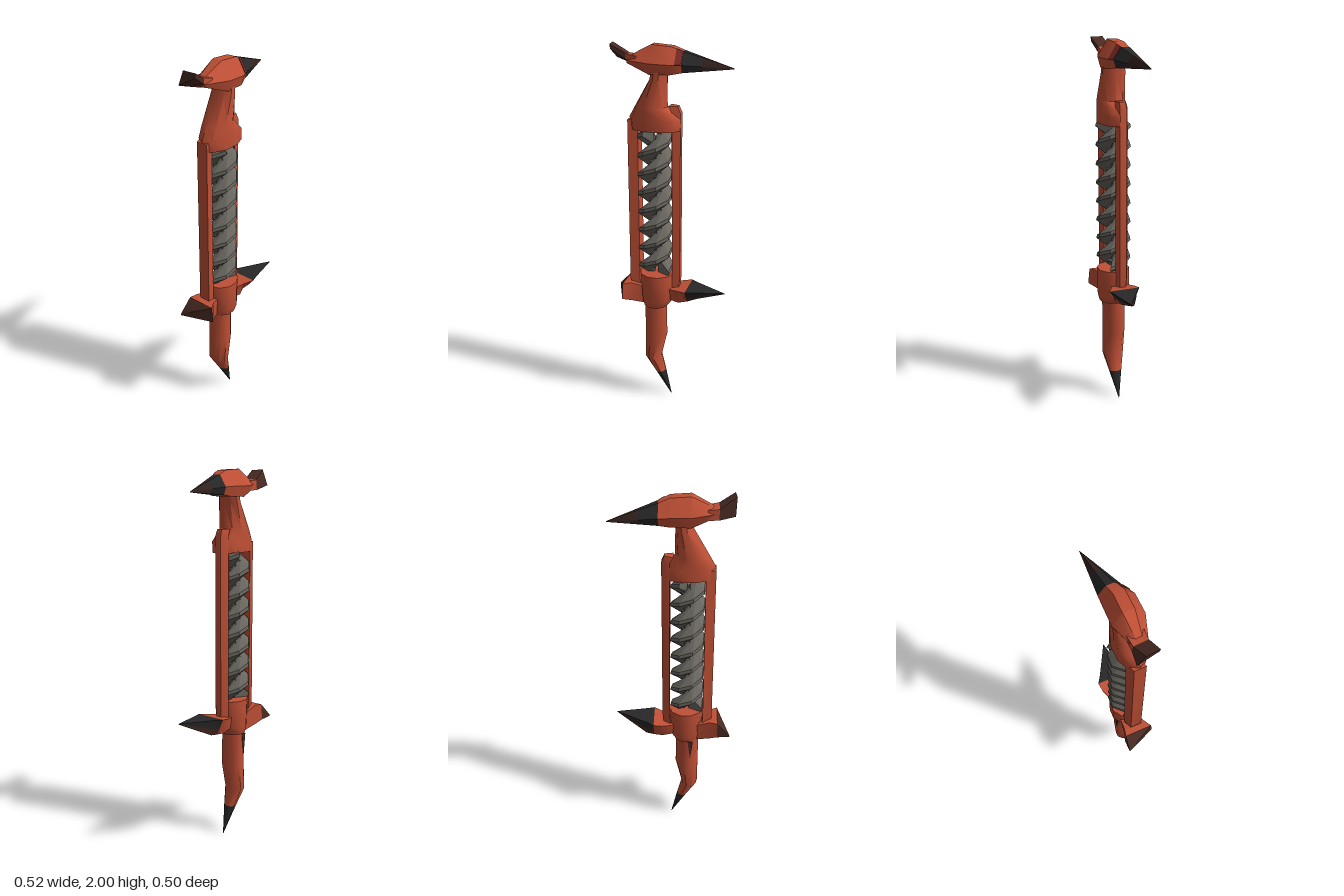
import * as THREE from 'three';
import { toCreasedNormals } from 'three/addons/utils/BufferGeometryUtils.js';

const paint = (name, color) => {
  const m = new THREE.MeshStandardMaterial({ color });
  m.name = name;
  return m;
};

// Skins a list of rings (equal point counts, [x, y, z]) and closes both ends.
function loft(rings, crease = 0.75) {
  const pos = [];
  const n = rings[0].length;
  const tri = (a, b, c) => pos.push(...a, ...b, ...c);
  for (let i = 0; i < rings.length - 1; i++) {
    for (let j = 0; j < n; j++) {
      const k = (j + 1) % n;
      const [a, b, c, d] = [rings[i][j], rings[i][k], rings[i + 1][k], rings[i + 1][j]];
      tri(a, b, c);
      tri(a, c, d);
    }
  }
  const first = rings[0], last = rings[rings.length - 1];
  for (let j = 1; j < n - 1; j++) {
    tri(first[0], first[j + 1], first[j]);
    tri(last[0], last[j], last[j + 1]);
  }
  // Turn every face outward if the enclosed volume is negative
  let volume = 0;
  const v = [new THREE.Vector3(), new THREE.Vector3(), new THREE.Vector3()];
  for (let i = 0; i < pos.length; i += 9) {
    v.forEach((p, k) => p.fromArray(pos, i + k * 3));
    volume += v[0].dot(v[1].clone().cross(v[2]));
  }
  if (volume < 0) {
    for (let i = 0; i < pos.length; i += 9) {
      for (let k = 0; k < 3; k++) {
        [pos[i + 3 + k], pos[i + 6 + k]] = [pos[i + 6 + k], pos[i + 3 + k]];
      }
    }
  }
  const g = new THREE.BufferGeometry();
  g.setAttribute('position', new THREE.Float32BufferAttribute(pos, 3));
  return toCreasedNormals(g, crease);
}

// Level oval ring between x0 and x1, with half depth rz
const oval = (y, x0, x1, rz, z = 0.018, sides = 10) =>
  Array.from({ length: sides }, (_, i) => {
    const a = (i / sides) * Math.PI * 2;
    return [(x0 + x1) / 2 + ((x1 - x0) / 2) * Math.cos(a), y, z + rz * Math.sin(a)];
  });

// Level four-sided ring with separate inner and outer edges
const rail = (y, inner, [i0, i1], outer, [o0, o1]) =>
  [[inner, y, i0], [outer, y, o0], [outer, y, o1], [inner, y, i1]];

// Upright six-sided ring: narrow ridge above, broad belly
const hex = (x, top, mid, bottom, w, z = 0.014) => [
  [x, top, z - w * 0.35], [x, top, z + w * 0.35], [x, mid, z + w],
  [x, bottom, z + w * 0.8], [x, bottom, z - w * 0.8], [x, mid, z - w],
];

// Upright four-sided ring with its own edges above and below
const slab = (x, top, [t0, t1], bottom, [b0, b1]) =>
  [[x, top, t0], [x, top, t1], [x, bottom, b1], [x, bottom, b0]];

// Ring part of the way from one ring to another
const between = (a, b, t) => a.map((p, i) => p.map((c, k) => c + (b[i][k] - c) * t));

// Twisted blade with a wedge-shaped section
function screw(y0, y1, turns, sides, phase) {
  const rings = [];
  const steps = Math.round(turns * sides);
  for (let i = 0; i <= steps; i++) {
    const a = phase - (i / sides) * Math.PI * 2;
    const y = y0 + ((y1 - y0) * i) / steps;
    const at = (r, dy) => [-0.073 + r * Math.cos(a), y + dy, 0.014 + r * Math.sin(a)];
    rings.push([at(0.01, -0.042), at(0.045, -0.042), at(0.094, -0.008), at(0.09, 0.01), at(0.045, 0.042), at(0.01, 0.042)]);
  }
  return loft(rings, 0.4);
}

export function createModel() {
  const red = paint('rust red', 0xc05036);
  const black = paint('black', 0x282828);
  const brown = paint('dark brown', 0x4a2b23);
  const umber = paint('umber', 0x35241f);
  const crimson = paint('dark crimson', 0x7c2a26);
  const grey = paint('warm grey', 0x69665f);

  const body = new THREE.Group();
  body.name = 'body';
  const add = (name, geometry, material) => {
    const mesh = new THREE.Mesh(geometry, material);
    mesh.name = name;
    body.add(mesh);
  };

  // Lower shaft, bending into a pointed black tip
  const tipRing = oval(0.155, -0.08, -0.022, 0.037, 0.014);
  add('lowerShaft', loft([
    oval(0.62, -0.14, -0.016, 0.062, 0.014),
    oval(0.4, -0.138, -0.012, 0.062, 0.014),
    oval(0.25, -0.137, -0.046, 0.06, 0.014),
    tipRing,
  ]), red);
  add('lowerTip', loft([tipRing, oval(0, 0.01, 0.013, 0.001, 0.012)]), black);

  // Dark notch mark on the back of the shaft
  add('shaftMark', loft([
    [[-0.108, 0.575, -0.042], [-0.08, 0.575, -0.042], [-0.094, 0.45, -0.042]],
    [[-0.108, 0.575, -0.048], [-0.08, 0.575, -0.048], [-0.094, 0.455, -0.048]],
  ]), brown);

  // Collar under the screw
  add('collar', loft([
    oval(0.582, -0.14, -0.005, 0.075),
    oval(0.62, -0.152, 0.02, 0.086),
    oval(0.775, -0.162, 0.025, 0.088),
  ]), red);

  // Double-start twisted core
  for (const [name, phase] of [['screwA', 0.5], ['screwB', 0.5 + Math.PI]]) {
    add(name, screw(0.79, 1.56, 3.75, 8, phase), grey);
  }

  // Side rails, tapering outward
  add('leftRail', loft([
    rail(0.67, -0.15, [-0.025, 0.035], -0.195, [-0.008, 0.045]),
    rail(0.73, -0.16, [-0.03, 0.04], -0.21, [-0.01, 0.052]),
    rail(1.62, -0.16, [-0.03, 0.04], -0.21, [-0.01, 0.052]),
  ]), red);
  add('rightRail', loft([
    rail(0.67, 0.012, [-0.03, 0.03], 0.052, [-0.01, 0.02]),
    rail(0.75, 0.02, [-0.033, 0.033], 0.06, [-0.014, 0.022]),
    rail(1.66, 0.02, [-0.033, 0.033], 0.06, [-0.014, 0.022]),
    rail(1.695, 0, [-0.028, 0.03], 0.045, [-0.01, 0.02]),
  ]), red);

  // Dark lining inside the upper part of the right rail
  add('railLining', loft([
    rail(1.2, 0.017, [-0.005, 0.033], 0.022, [-0.005, 0.033]),
    rail(1.34, 0.017, [-0.033, 0.033], 0.022, [-0.033, 0.033]),
    rail(1.57, 0.017, [-0.033, 0.033], 0.022, [-0.033, 0.033]),
  ]), crimson);

  // Shoulder narrowing into the neck
  add('neck', loft([
    oval(1.572, -0.202, 0.06, 0.074, 0.02),
    oval(1.63, -0.208, 0.062, 0.074, 0.02),
    oval(1.69, -0.175, -0.006, 0.072, 0.02),
    oval(1.83, -0.096, -0.008, 0.064, 0.02),
    oval(1.9, -0.09, 0, 0.06, 0.02),
  ]), red);

  // Angular head with a long beak, dark brown toward its point
  const browRing = hex(0.018, 1.988, 1.908, 1.858, 0.076);
  const beakRing = hex(0.072, 1.966, 1.905, 1.866, 0.06, 0);
  const beakPoint = hex(0.313, 1.885, 1.883, 1.881, 0.001, -0.042);
  const beakMid = between(beakRing, beakPoint, 0.38);
  add('head', loft([
    hex(-0.21, 1.93, 1.915, 1.9, 0.035),
    hex(-0.085, 1.995, 1.91, 1.855, 0.078),
    browRing,
    beakRing,
  ], 0.5), red);
  add('beak', loft([beakRing, beakMid]), black);
  add('beakTip', loft([beakMid, beakPoint]), umber);

  // Dark patch where the head meets the beak
  const patchRing = (t) => {
    const [a, b] = between(browRing, beakRing, t).slice(1, 3);
    const raise = ([x, y, z]) => [x, y + 0.002, z + 0.003];
    return [a, b, raise(b), raise(a)];
  };
  add('browPatch', loft([patchRing(0.45), patchRing(1)]), crimson);

  // Thin tilted crest behind the head
  const crestRing = [[-0.215, 1.94, -0.025], [-0.215, 1.948, 0.046], [-0.215, 1.918, 0.046], [-0.215, 1.888, -0.03]];
  add('crestRoot', loft([slab(-0.16, 1.935, [-0.03, 0.05], 1.885, [-0.03, 0.05]), crestRing]), red);
  add('crest', loft([crestRing, [
    [-0.296, 1.993, -0.005], [-0.29, 1.992, 0.062], [-0.288, 1.968, 0.06], [-0.29, 1.912, -0.042],
  ]]), brown);

  // Long guard spike: black above, brown along the keel
  const upperRing = slab(0.108, 0.708, [-0.07, 0.1], 0.66, [-0.05, 0.062]);
  const lowerRing = slab(0.108, 0.66, [-0.05, 0.062], 0.62, [-0.033, 0.025]);
  const tipPoint = slab(0.316, 0.711, [0.052, 0.054], 0.708, [0.052, 0.054]);
  add('longGuardRoot', loft([
    slab(0, 0.69, [-0.04, 0.05], 0.625, [-0.03, 0.04]),
    slab(0.06, 0.7, [-0.065, 0.075], 0.615, [-0.035, 0.045]),
    slab(0.108, 0.708, [-0.07, 0.1], 0.62, [-0.033, 0.025]),
  ]), red);
  add('longGuardSpike', loft([
    upperRing,
    slab(0.15, 0.709, [-0.042, 0.089], 0.66, [-0.035, 0.04]),
    tipPoint,
  ]), black);
  add('longGuardKeel', loft([
    lowerRing,
    slab(0.15, 0.66, [-0.035, 0.04], 0.624, [-0.025, -0.01]),
    tipPoint,
  ]), brown);

  // Short guard spike, swept to one side
  const hookRing = slab(-0.242, 0.712, [-0.055, 0.1], 0.625, [-0.06, 0.108]);
  add('shortGuardRoot', loft([
    slab(-0.13, 0.69, [-0.04, 0.05], 0.585, [-0.03, 0.04]),
    slab(-0.2, 0.715, [-0.045, 0.075], 0.605, [-0.045, 0.07]),
    hookRing,
  ]), red);
  add('shortGuardSpike', loft([hookRing,
    slab(-0.31, 0.638, [-0.061, -0.058], 0.63, [-0.061, -0.058]),
  ]), brown);

  // The whole tool stands diagonally
  body.rotation.y = Math.PI / 4;
  const model = new THREE.Group();
  model.name = 'model';
  model.add(body);
  return model;
}
